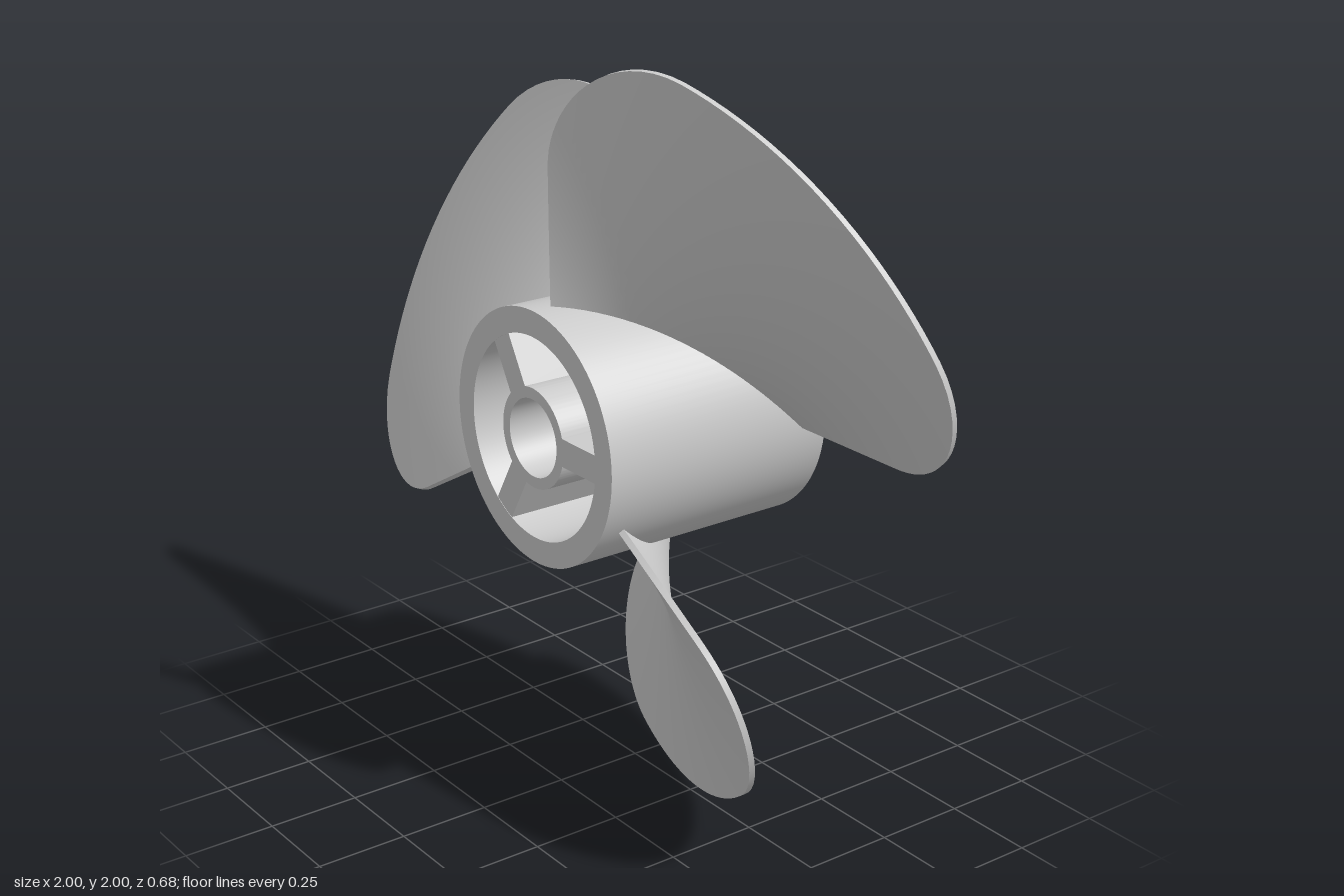
import * as THREE from 'three';
import { toCreasedNormals } from 'three/addons/utils/BufferGeometryUtils.js';
import { ParametricGeometry } from 'three/addons/geometries/ParametricGeometry.js';

const HUB_R = 0.342, HUB_HALF = 0.342;   // hub cylinder
const CAVITY_R = 0.273, FLOOR_Z = -0.28; // hollow front of the hub
const TIP_R = 1.024, FILLET = 0.273;     // blade outline
const ROOT_R = 0.325, RISE = 0.55, THICK = 0.016;
const SWEEP = Math.PI / 2;

const lerp = THREE.MathUtils.lerp;

// Blade reach at an angle: tip circle with a fillet tangent to each straight edge
function reach(angle) {
  const a = Math.min(angle, SWEEP - angle);
  const cx = Math.sqrt((TIP_R - FILLET) ** 2 - FILLET ** 2);
  if (a > Math.atan2(FILLET, cx)) return TIP_R;
  const along = cx * Math.cos(a) + FILLET * Math.sin(a);
  return along + Math.sqrt(Math.max(0, along * along - cx * cx));
}

// Point on the helical blade, moved off the mid surface along its normal
function helicoid(angle, r, offset, target) {
  const slope = RISE / SWEEP / r;
  const k = offset / Math.hypot(1, slope);
  const c = Math.cos(angle), s = Math.sin(angle);
  target.set(
    r * c + s * slope * k,
    r * s - c * slope * k,
    RISE * (angle / SWEEP - 0.5) + 0.005 + k
  );
}

// Angles bunch up towards both edges, where the outline bends most
const sweepAngle = (t) => SWEEP * (1 - Math.cos(Math.PI * t)) / 2;

function bladeGeometries() {
  const face = (s, t, offset, target) => {
    const a = sweepAngle(t);
    helicoid(a, lerp(ROOT_R, reach(a), s), offset, target);
  };
  const front = new ParametricGeometry((u, v, p) => face(u, v, THICK / 2, p), 14, 56);
  const back = new ParametricGeometry((u, v, p) => face(v, u, -THICK / 2, p), 56, 14);
  // Rim: out along one edge, around the tip, back along the other edge
  const rim = new ParametricGeometry((u, v, p) => {
    const t = THREE.MathUtils.clamp((u - 0.1) / 0.8, 0, 1);
    const s = Math.min(1, u / 0.1, (1 - u) / 0.1);
    face(s, t, THICK * (v - 0.5), p);
  }, 70, 1);
  return { bladeFront: front, bladeBack: back, bladeRim: rim };
}

// Cup-shaped hub, closed at the back
function hubShell() {
  const profile = [
    [0, -HUB_HALF], [HUB_R, -HUB_HALF], [HUB_R, HUB_HALF],
    [CAVITY_R, HUB_HALF], [CAVITY_R, FLOOR_Z], [0, FLOOR_Z],
  ].map(([x, y]) => new THREE.Vector2(x, y));
  const geo = new THREE.LatheGeometry(profile, 96);
  geo.rotateX(Math.PI / 2);
  return toCreasedNormals(geo, 0.6);
}

// Shaft sleeve with three spokes
function hubCore() {
  const sleeveR = 0.135, boreR = 0.105, half = 0.0375, end = CAVITY_R + 0.004;
  const shape = new THREE.Shape();
  const inner = Math.asin(half / sleeveR), outer = Math.asin(half / end);
  for (let i = 0; i < 3; i++) {
    const a = i * Math.PI * 2 / 3;
    const x = end * Math.cos(a - outer), y = end * Math.sin(a - outer);
    if (i === 0) shape.moveTo(x, y); else shape.lineTo(x, y);
    shape.lineTo(end * Math.cos(a + outer), end * Math.sin(a + outer));
    shape.absarc(0, 0, sleeveR, a + inner, a + Math.PI * 2 / 3 - inner, false);
  }
  shape.closePath();
  shape.holes.push(new THREE.Path().absarc(0, 0, boreR, 0, Math.PI * 2, true));
  const geo = new THREE.ExtrudeGeometry(shape, {
    depth: HUB_HALF - FLOOR_Z - 0.001, bevelEnabled: false, curveSegments: 24,
  });
  geo.translate(0, 0, FLOOR_Z);
  return toCreasedNormals(geo, 0.6);
}

export function createModel() {
  const material = new THREE.MeshStandardMaterial({ color: 0xcccccc });
  const model = new THREE.Group();
  model.name = 'propeller';

  const add = (parent, geometry, name) => {
    const mesh = new THREE.Mesh(geometry, material);
    mesh.name = name;
    parent.add(mesh);
  };

  add(model, hubShell(), 'hubShell');
  add(model, hubCore(), 'sleeveAndSpokes');

  // Three equal blades around the hub
  const parts = bladeGeometries();
  for (let i = 0; i < 3; i++) {
    const blade = new THREE.Group();
    blade.name = `blade${i + 1}`;
    for (const [name, geometry] of Object.entries(parts)) add(blade, geometry, name);
    blade.rotation.z = i * Math.PI * 2 / 3;
    model.add(blade);
  }

  model.position.set(0.023, 1.024, 0);
  const root = new THREE.Group();
  root.add(model);
  return root;
}
